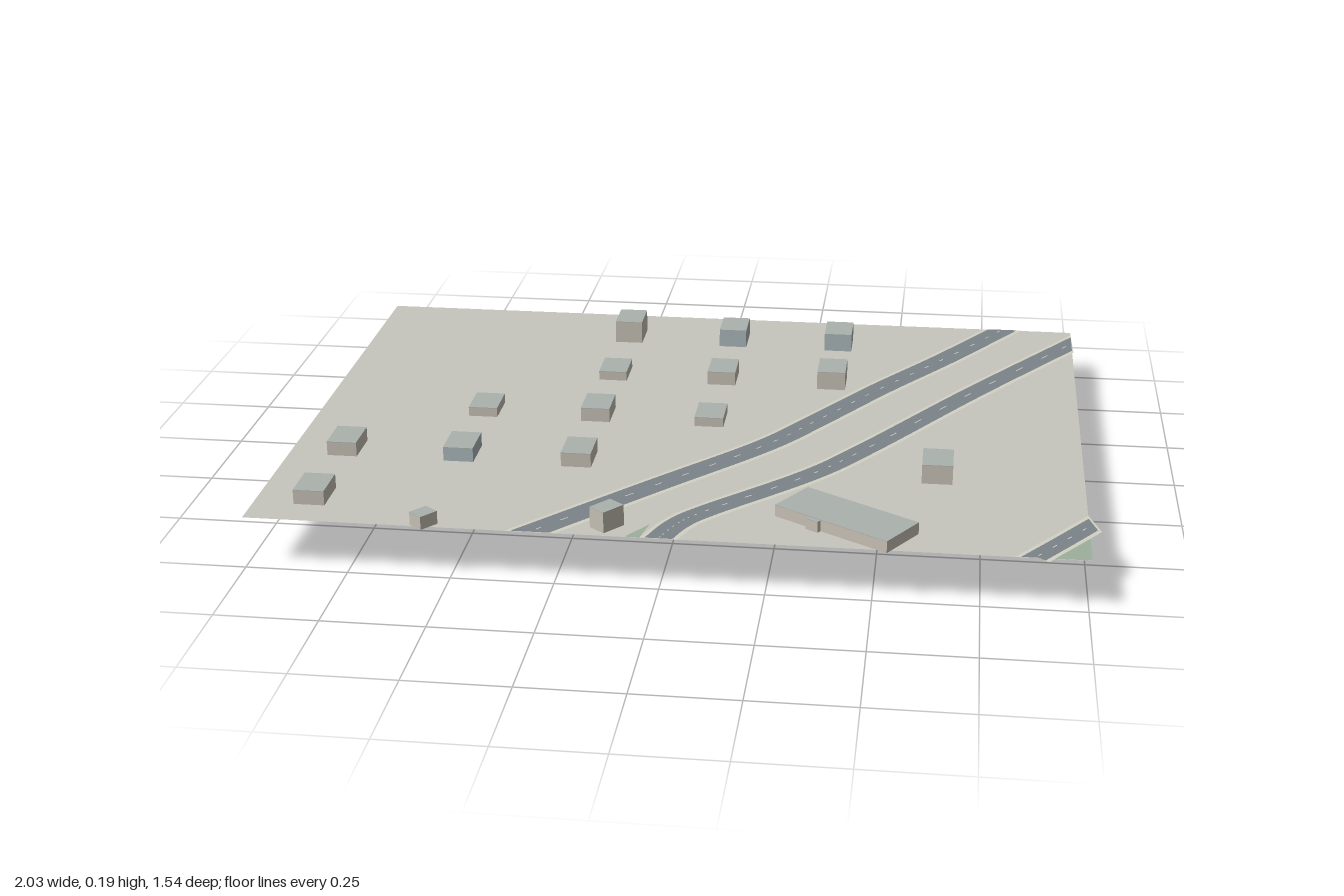
import * as THREE from 'three';

const GROUND = 0.13, BACK = -0.771, FRONT = 0.747;

const paint = (color) => new THREE.MeshStandardMaterial({ color, side: THREE.DoubleSide, flatShading: true });

export function createModel() {
  const model = new THREE.Group();
  const mats = {
    ground: paint(0xc6c6bd), wall: paint(0xaab1ad), asphalt: paint(0x7c8489), kerb: paint(0xd2d2c4),
    grass: paint(0x9db09c), roof: paint(0xabb2ae), beige: paint(0xc6bfb3), blue: paint(0xa9b5b9),
  };

  function add(name, geometry, material, parent = model) {
    const mesh = new THREE.Mesh(geometry, material);
    mesh.name = name;
    parent.add(mesh);
    return mesh;
  }

  // Flat polygon lying on the ground, corners as [x, z]
  function flat(name, corners, y, material) {
    const shape = new THREE.Shape(corners.map(([x, z]) => new THREE.Vector2(x, -z)));
    add(name, new THREE.ShapeGeometry(shape).rotateX(-Math.PI / 2), material).position.y = y;
  }

  // Ground sheet and the upright strip along its back edge
  flat('ground', [[-1, BACK], [1, BACK], [1, FRONT], [-1, FRONT]], GROUND, mats.ground);
  add('backWall', new THREE.PlaneGeometry(2, GROUND).rotateY(Math.PI), mats.wall)
    .position.set(0, GROUND / 2, BACK);

  // Ribbon along a curve; cuts = border direction at each end, so it stops flush with the ground edge
  function ribbon(name, curve, from, to, steps, width, y, material, cuts = []) {
    const pos = [], index = [];
    for (let i = 0; i <= steps; i++) {
      const u = from + (to - from) * i / steps;
      const p = curve.getPoint(u), t = curve.getTangent(u);
      const side = new THREE.Vector2(-t.y, t.x);
      const cut = i === 0 ? cuts[0] : i === steps ? cuts[1] : null;
      if (cut) {
        const d = cut.dot(side);
        side.copy(cut).divideScalar(d);
      }
      side.multiplyScalar(width / 2);
      pos.push(p.x - side.x, y, p.y - side.y, p.x + side.x, y, p.y + side.y);
      const a = i * 2;
      if (i < steps) index.push(a, a + 1, a + 2, a + 1, a + 3, a + 2);
    }
    const g = new THREE.BufferGeometry();
    g.setAttribute('position', new THREE.Float32BufferAttribute(pos, 3));
    g.setIndex(index);
    g.computeVertexNormals();
    add(name, g, material);
  }

  // Roads as [x, z] centre lines, each with pale kerbs and centre dashes
  const alongX = new THREE.Vector2(1, 0), alongZ = new THREE.Vector2(0, 1);
  const roads = [
    { name: 'leftRoad', w: 0.07, dashes: 26, cuts: [alongX, alongX],
      pts: [[-0.305, FRONT], [-0.05, 0.45], [0.19, 0.175], [0.32, -0.02], [0.47, -0.26], [0.64, -0.51], [0.805, BACK]] },
    { name: 'rightRoad', w: 0.062, dashes: 26, cuts: [alongX, alongZ],
      pts: [[0, FRONT], [0.035, 0.66], [0.1, 0.575], [0.32, 0.345], [0.46, 0.15], [0.72, -0.26], [1, -0.675]] },
    { name: 'cornerRoad', w: 0.052, dashes: 4, cuts: [alongX, alongZ],
      pts: [[0.87, FRONT], [0.935, 0.657], [1, 0.565]] },
  ];
  for (const { name, pts, w, dashes, cuts } of roads) {
    const curve = new THREE.SplineCurve(pts.map(([x, z]) => new THREE.Vector2(x, z)));
    ribbon(name + 'Kerb', curve, 0, 1, 36, w + 0.022, GROUND + 0.0006, mats.kerb, cuts);
    ribbon(name, curve, 0, 1, 36, w, GROUND + 0.0012, mats.asphalt, cuts);
    for (let i = 0; i < dashes; i++) {
      ribbon(name + 'Dash', curve, (i + 0.35) / dashes, (i + 0.6) / dashes, 1, 0.003, GROUND + 0.0018, mats.kerb);
    }
  }

  // Grass patches beside the roads
  flat('cornerGrass', [[0.915, FRONT], [1, FRONT], [1, 0.63]], GROUND + 0.0009, mats.grass);
  flat('medianGrass', [[-0.08, FRONT], [-0.045, FRONT], [-0.03, 0.67]], GROUND + 0.0009, mats.grass);

  // Block with a flat grey roof
  function building(name, x, z, w, h, d, turn = 0, walls = mats.beige) {
    const g = new THREE.Group();
    g.name = name;
    const skin = 0.0015;
    add('walls', new THREE.BoxGeometry(w, h - skin, d), walls, g).position.y = (h - skin) / 2;
    add('roof', new THREE.BoxGeometry(w, skin, d), mats.roof, g).position.y = h - skin / 2;
    g.position.set(x, GROUND, z);
    g.rotation.y = turn;
    model.add(g);
    return g;
  }

  // Houses on a 0.3 grid: [column, row, height, bluish]
  const houses = [
    [0, -2, 0.062], [1, -2, 0.05, 1], [2, -2, 0.05, 1],
    [0, -1, 0.025], [1, -1, 0.037], [2, -1, 0.05],
    [-1, 0, 0.025], [0, 0, 0.037], [1, 0, 0.025],
    [-2, 1, 0.037], [-1, 1, 0.037, 1], [0, 1, 0.037], [3, 1, 0.05],
    [-2, 2, 0.037],
  ];
  for (const [c, r, h, blue] of houses) {
    building('house', -0.262 + c * 0.3, 0.005 + r * 0.3, 0.076, h, 0.105, 0, blue ? mats.blue : mats.beige);
  }

  // Long hall with a small porch, and two little road-side blocks
  building('hall', 0.43, 0.62, 0.322, 0.03, 0.132, -0.56);
  building('hallPorch', 0.359, 0.65, 0.034, 0.028, 0.03, -0.56);
  building('roadsideTower', -0.13, 0.693, 0.048, 0.053, 0.065, -0.68);
  building('roadsideHut', -0.562, 0.733, 0.042, 0.033, 0.05, -0.68);

  return model;
}
